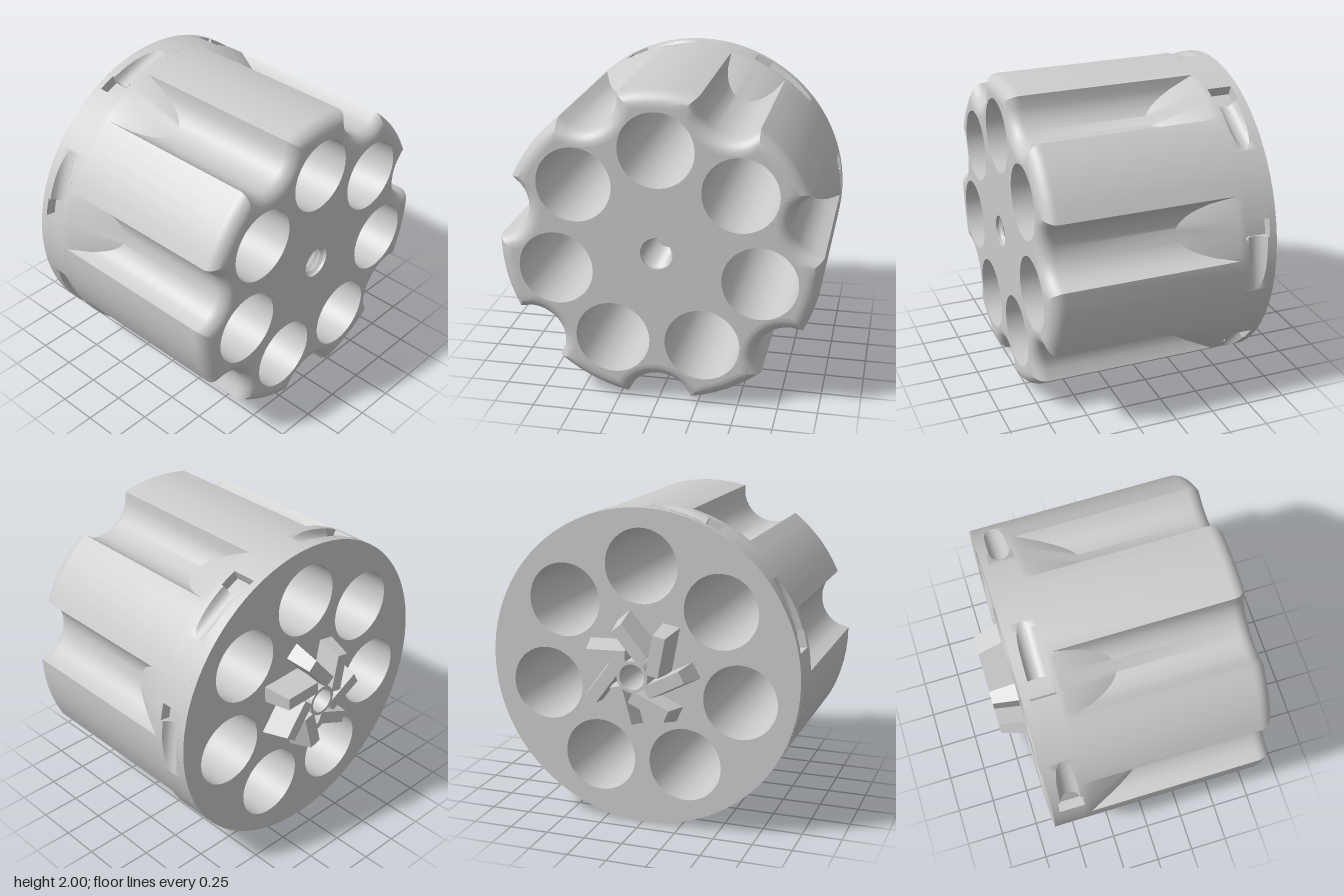
import * as THREE from 'three';
import { toCreasedNormals } from 'three/addons/utils/BufferGeometryUtils.js';

const N = 7, STEP = (2 * Math.PI) / N, DEG = Math.PI / 180;
const FRONT = 0.8, BACK = -0.645, TIP = -0.81;
const FILLET = 0.09;                        // rounded front edge
const FLUTE_D = 1.045, FLUTE_R = 0.21;      // flute axis distance and radius
const CHAMBER_D = 0.647, CHAMBER_R = 0.233;
const BAND = [-0.6, -0.44];                 // z range of the stop notches

const mat = new THREE.MeshStandardMaterial({ color: 0xcccccc, side: THREE.DoubleSide });

function add(parent, name, geo) {
  const m = new THREE.Mesh(geo, mat);
  m.name = name;
  parent.add(m);
  return m;
}

// Surface through a grid of [angle, radius, z] samples
function polarGrid(cols, rows, fn, crease = 0.5) {
  const pos = [], idx = [];
  for (let i = 0; i < cols; i++) for (let j = 0; j < rows; j++) {
    const [a, r, z] = fn(i, j);
    pos.push(r * Math.cos(a), r * Math.sin(a), z);
    if (i < cols - 1 && j < rows - 1) {
      const p = i * rows + j, q = p + rows;
      idx.push(p, q, q + 1, p, q + 1, p + 1);
    }
  }
  const g = new THREE.BufferGeometry();
  g.setAttribute('position', new THREE.Float32BufferAttribute(pos, 3));
  g.setIndex(idx);
  return toCreasedNormals(g, crease);
}

// Fluted outline, inset by o: u 0..1 runs over a flute, 1..2 over the land after it
function outline(k, u, o) {
  const R = 1 - o, f = FLUTE_R + o;
  const edge = Math.acos((R * R + FLUTE_D ** 2 - f * f) / (2 * R * FLUTE_D));
  const phi = u <= 1 ? (2 * u - 1) * edge : edge + (u - 1) * (STEP - 2 * edge);
  const r = u < 1 ? FLUTE_D * Math.cos(phi) - Math.sqrt(f * f - (FLUTE_D * Math.sin(phi)) ** 2) : R;
  return [-Math.PI / 2 + k * STEP + phi, Math.min(r, R)];
}

function flutedColumns() {
  const cols = [];
  for (let k = 0; k < N; k++) {
    for (let i = 0; i < 18; i++) cols.push([k, i / 18]);
    for (let i = 0; i < 6; i++) cols.push([k, 1 + i / 6]);
  }
  return cols;
}

// Walls from the notch band to the front: ramped flute ends, flutes, fillet
function flutedWall() {
  const cols = flutedColumns();
  cols.push([N, 0]);
  const floor = FLUTE_D - FLUTE_R, steps = 8;
  return polarGrid(cols.length, 4 + steps, (i, j) => {
    const t = Math.max(0, j - 3) / steps * Math.PI / 2;
    const [a, r] = outline(...cols[i], FILLET * (1 - Math.cos(t)));
    if (j === 0) return [a, 1, BAND[1]];
    if (j === 1) return [a, 1, -0.4];
    if (j === 2) return [a, r, -0.05 - 0.35 * (r - floor) / (1 - floor)];
    return [a, r, FRONT - FILLET + FILLET * Math.sin(t)];
  });
}

// Stop notch: square pocket followed by a round channel running out to the surface
function notchPatch(start, end) {
  const cols = [], mid = (BAND[0] + BAND[1]) / 2, half = (BAND[1] - BAND[0]) / 2;
  const rho = 0.064, split = 8.6 * DEG, M = 16;
  for (let i = 0; i <= M; i++) {
    const t = 1 - i / M;
    cols.push({ a: start + (split - start) * i / M, D: 0.058 * (1 - t * t) });
  }
  for (let i = 0; i <= 4; i++) cols.push({ a: split + 0.0005 + (end - split - 0.001) * i / 4, flat: 0.065 });
  cols.push({ a: end, flat: 0 });
  const rows = 15;
  return polarGrid(cols.length, rows, (i, j) => {
    const c = cols[i];
    if (j === 0 || j === rows - 1) return [c.a, 1, mid + (j ? half : -half)];
    const u = (j - 1) / (rows - 3) * 2 - 1;
    if (c.flat !== undefined) return [c.a, 1 - c.flat, mid + u * half];
    const z = u * Math.sqrt(Math.max(0, 2 * rho * c.D - c.D * c.D));
    const depth = Math.max(0, Math.sqrt(rho * rho - z * z) - rho + c.D);
    return [c.a, 1 - depth, mid + z];
  }, 0.6);
}

const arcBand = (a0, a1, z0, z1, n) =>
  polarGrid(n + 1, 2, (i, j) => [a0 + (a1 - a0) * i / n, 1, j ? z1 : z0]);

// End face with chamber holes and a centre hole
function endFace(points, centreR) {
  const s = new THREE.Shape(points);
  const hole = (x, y, r) => s.holes.push(new THREE.Path().absarc(x, y, r, 0, 2 * Math.PI, true));
  for (let k = 0; k < N; k++) {
    const a = Math.PI / 2 + k * STEP;
    hole(CHAMBER_D * Math.cos(a), CHAMBER_D * Math.sin(a), CHAMBER_R);
  }
  hole(0, 0, centreR);
  return new THREE.ShapeGeometry(s, 24);
}

// Lathe about the z axis from [radius, z] points
function latheZ(points) {
  const g = new THREE.LatheGeometry(points.map(([r, z]) => new THREE.Vector2(r, z)), 40);
  return toCreasedNormals(g.rotateX(Math.PI / 2), 0.5);
}

// Ratchet tooth: box tapered towards its tip, set beside the radial line
function toothGeometry() {
  const g = new THREE.BoxGeometry(1, 1, 1), p = g.attributes.position;
  for (let i = 0; i < p.count; i++) {
    const tip = p.getZ(i) < 0;
    const u = p.getX(i) < 0 ? 0.04 : tip ? 0.29 : 0.33;
    const v = p.getY(i) < 0 ? 0.08 : tip ? 0.16 : 0.19;
    p.setXYZ(i, u, v, tip ? TIP : BACK);
  }
  g.computeVertexNormals();
  return g;
}

export function createModel() {
  const root = new THREE.Group();
  root.name = 'flutedDrum';
  const drum = new THREE.Group();
  drum.name = 'drum';
  drum.position.y = 1;
  root.add(drum);

  // Outer walls
  add(drum, 'flutedWall', flutedWall());
  add(drum, 'rearRim', arcBand(0, 2 * Math.PI, BACK, BAND[0], 84));

  // End faces
  const front = flutedColumns().map(([k, u]) => {
    const [a, r] = outline(k, u, FILLET);
    return new THREE.Vector2(r * Math.cos(a), r * Math.sin(a));
  });
  add(drum, 'frontFace', endFace(front, 0.1)).position.z = FRONT;
  const rim = Array.from({ length: 84 }, (_, i) =>
    new THREE.Vector2(Math.cos(i * STEP / 12), Math.sin(i * STEP / 12)));
  const rear = add(drum, 'rearFace', endFace(rim, 0.08));
  rear.rotation.y = Math.PI;
  rear.position.z = BACK;

  // Chambers, stop notches and ratchet teeth
  const bore = new THREE.CylinderGeometry(CHAMBER_R, CHAMBER_R, FRONT - BACK, 48, 1, true).rotateX(Math.PI / 2);
  const n0 = -11.8 * DEG, n1 = 15.2 * DEG;
  const notch = notchPatch(n0, n1);
  const between = arcBand(n1, n0 + STEP, BAND[0], BAND[1], 8);
  const tooth = toothGeometry();
  for (let k = 0; k < N; k++) {
    const a = Math.PI / 2 + k * STEP;
    add(drum, 'chamber', bore).position.set(
      CHAMBER_D * Math.cos(a), CHAMBER_D * Math.sin(a), (FRONT + BACK) / 2);
    add(drum, 'stopNotch', notch).rotation.z = k * STEP;
    add(drum, 'notchBand', between).rotation.z = k * STEP;
    add(drum, 'ratchetTooth', tooth).rotation.z = 49.5 * DEG + k * STEP;
  }

  // Threaded front socket
  const thread = [[0.1, FRONT]];
  for (let i = 0; i < 8; i++) {
    const z = FRONT - 0.02 - i * 0.04;
    thread.push([0.1, z], [0.082, z - 0.02]);
  }
  thread.push([0.1, 0.44], [0, 0.44]);
  add(drum, 'threadedSocket', latheZ(thread));

  // Rear hub with blind hole
  add(drum, 'ratchetHub', latheZ([[0.1, BACK], [0.1, TIP], [0.08, TIP], [0.08, -0.45], [0, -0.45]]));
  return root;
}
